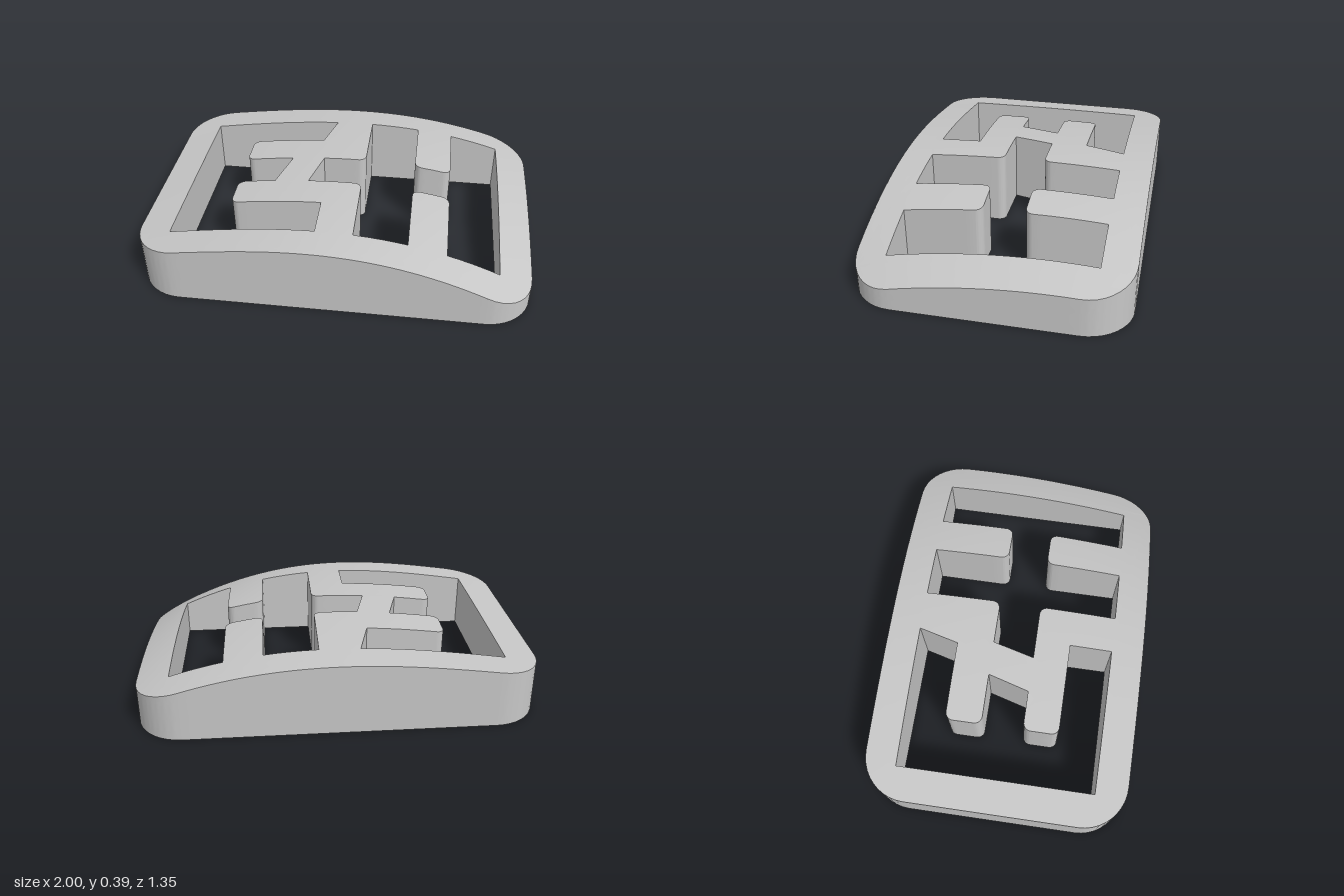
import * as THREE from 'three';
import { toCreasedNormals } from 'three/addons/utils/BufferGeometryUtils.js';

// Crown of the top face: height = a + b z + c z² at five stations along x
const STATIONS = [
  [-1, 0.265, 0, 0],
  [-0.5, 0.347, 0, -0.03],
  [0.1, 0.386, -0.012, -0.065],
  [0.565, 0.333, -0.046, -0.115],
  [1, 0.188, -0.094, -0.146],
];

// Smooth polynomial blend between the stations
function topHeight(x, z) {
  let sum = 0;
  for (const [xi, a, b, c] of STATIONS) {
    let w = 1;
    for (const [xj] of STATIONS) if (xj !== xi) w *= (x - xj) / (xi - xj);
    sum += w * (a + b * z + c * z * z);
  }
  return sum;
}

// Closed outline through [x, z, cornerRadius] points
function roundedPath(points, PathClass) {
  const path = new PathClass();
  const v = points.map(([x, z]) => new THREE.Vector2(x, -z));
  const n = v.length;
  for (let i = 0; i < n; i++) {
    const p = v[i], r = points[i][2] || 0;
    const toward = (q, d) => p.clone().add(q.clone().sub(p).setLength(d));
    const prev = v[(i + n - 1) % n], next = v[(i + 1) % n];
    const s = r ? toward(prev, r) : p;
    if (i === 0) path.moveTo(s.x, s.y); else path.lineTo(s.x, s.y);
    if (r) {
      const c1 = toward(prev, r * 0.448), c2 = toward(next, r * 0.448), e = toward(next, r);
      path.bezierCurveTo(c1.x, c1.y, c2.x, c2.y, e.x, e.y);
    }
  }
  path.closePath();
  return path;
}

// Split the longest edge of each triangle until all edges are short
function subdivide(geometry, limit) {
  const pos = geometry.attributes.position, out = [], stack = [];
  const vert = (i) => new THREE.Vector3().fromBufferAttribute(pos, i);
  for (let i = 0; i < pos.count; i += 3) stack.push([vert(i), vert(i + 1), vert(i + 2)]);
  while (stack.length) {
    const t = stack.pop();
    const len = t.map((p, k) => p.distanceTo(t[(k + 1) % 3]));
    const k = len.indexOf(Math.max(...len));
    if (len[k] <= limit) {
      for (const p of t) out.push(p.x, p.y, p.z);
      continue;
    }
    const a = t[k], b = t[(k + 1) % 3], c = t[(k + 2) % 3];
    const m = a.clone().add(b).multiplyScalar(0.5);
    stack.push([a, m, c], [m, b, c]);
  }
  const g = new THREE.BufferGeometry();
  g.setAttribute('position', new THREE.Float32BufferAttribute(out, 3));
  return g;
}

export function createModel() {
  const group = new THREE.Group();
  group.name = 'crownedPlate';
  const grey = new THREE.MeshStandardMaterial({ color: 0xc6c6c6 });
  grey.name = 'plainGrey';

  // Outer frame with large rounded corners, counter-clockwise so the openings face inwards
  const R = 0.23, r = 0.04, X = 1, Z = 0.675;
  const shape = roundedPath([[-X, Z, R], [X, Z, R], [X, -Z, R], [-X, -Z, R]], THREE.Shape);

  // Left opening, running round the two arms of the middle bar
  shape.holes.push(roundedPath([
    [-0.83, -0.51], [-0.105, -0.51], [-0.16, -0.3],
    [-0.565, -0.3, r], [-0.565, -0.11, r], [-0.305, -0.11],
    [-0.365, 0.105], [-0.565, 0.105, r], [-0.565, 0.29, r],
    [-0.09, 0.29], [-0.09, 0.51], [-0.83, 0.51],
  ], THREE.Path));

  // Right opening, running round the two stubs
  shape.holes.push(roundedPath([
    [0.1, -0.51], [0.37, -0.51], [0.37, -0.107, r], [0.565, -0.107, r], [0.565, -0.51],
    [0.83, -0.51], [0.83, 0.51],
    [0.565, 0.51], [0.565, 0.107, r], [0.37, 0.107, r], [0.37, 0.51],
    [0.1, 0.51], [0.1, 0.107, r], [-0.185, 0.107], [-0.13, -0.11], [0.1, -0.11, r],
  ], THREE.Path));

  // Flat slab, then raise its top to the crown
  const depth = 0.3;
  const slab = new THREE.ExtrudeGeometry(shape, { depth, bevelEnabled: false, curveSegments: 10 });
  slab.rotateX(-Math.PI / 2);
  const body = subdivide(slab, 0.08);
  const p = body.attributes.position;
  for (let i = 0; i < p.count; i++) {
    p.setY(i, (p.getY(i) / depth) * topHeight(p.getX(i), p.getZ(i)));
  }

  const plate = new THREE.Mesh(toCreasedNormals(body, 0.6), grey);
  plate.name = 'openworkPlate';
  group.add(plate);
  return group;
}
